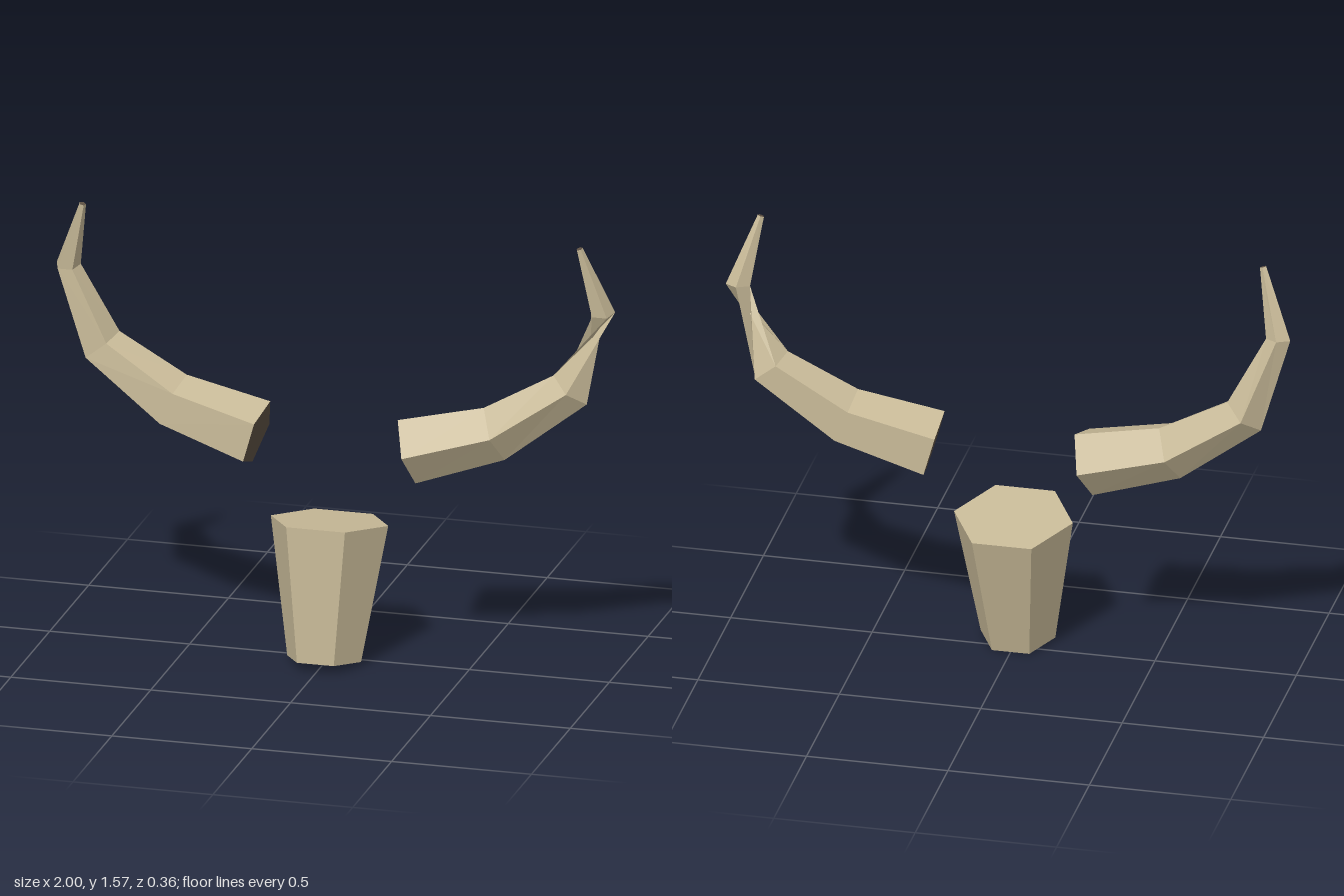
import * as THREE from 'three';

const bone = new THREE.MeshStandardMaterial({ name: 'bone', color: 0xc8ba98, flatShading: true, side: THREE.DoubleSide });
const core = new THREE.MeshStandardMaterial({ name: 'darkHornEnd', color: 0x5c4f42, flatShading: true });

// Horn cross-sections on the left side: centre, axis direction, radius
const RINGS = [
  { c: [0.27, 0.772, -0.05], t: [0.96, 0.27, -0.06], r: 0.123 },
  { c: [0.577, 0.857, -0.07], t: [0.93, 0.38, -0.04], r: 0.104 },
  { c: [0.842, 1.033, -0.09], t: [0.62, 0.78, 0.0], r: 0.08 },
  { c: [0.955, 1.322, -0.07], t: [0.0, 1.0, 0.15], r: 0.045 },
  { c: [0.888, 1.567, -0.02], t: [-0.27, 0.95, 0.2], r: 0.012 },
];
const SIDES = 5;

function meshFrom(name, triangles, material) {
  const geometry = new THREE.BufferGeometry().setFromPoints(triangles);
  geometry.computeVertexNormals();
  const mesh = new THREE.Mesh(geometry, material);
  mesh.name = name;
  return mesh;
}

// Five-sided tapering horn; side is +1 for left, -1 for right
function makeHorn(name, side) {
  const rings = RINGS.map(({ c, t, r }, i) => {
    const axis = new THREE.Vector3(side * t[0], t[1], t[2]).normalize();
    const front = new THREE.Vector3(0, 0, 1);
    front.addScaledVector(axis, -front.dot(axis)).normalize();
    const across = new THREE.Vector3().crossVectors(axis, front);
    // the left horn twists half a turn near its tip
    const start = side < 0 || i >= 3 ? Math.PI : 0;
    return Array.from({ length: SIDES }, (_, j) => {
      const a = start + (j / SIDES) * Math.PI * 2;
      return new THREE.Vector3(side * c[0], c[1], c[2])
        .addScaledVector(front, r * Math.cos(a))
        .addScaledVector(across, r * Math.sin(a));
    });
  });

  const wall = [];
  for (let i = 0; i < rings.length - 1; i++) {
    for (let j = 0; j < SIDES; j++) {
      const k = (j + 1) % SIDES;
      const a = rings[i][j], b = rings[i][k], c = rings[i + 1][k], d = rings[i + 1][j];
      wall.push(a, b, d, b, c, d);
    }
  }
  // end faces
  const base = [], tip = [];
  const last = rings[rings.length - 1];
  for (let j = 1; j < SIDES - 1; j++) {
    base.push(rings[0][0], rings[0][j + 1], rings[0][j]);
    tip.push(last[0], last[j], last[j + 1]);
  }
  const horn = new THREE.Group();
  horn.name = name;
  horn.add(meshFrom('hornWall', wall, bone), meshFrom('hornBase', base, core), meshFrom('hornTip', tip, core));
  return horn;
}

export function createModel() {
  const model = new THREE.Group();
  model.name = 'hornedSkull';

  // Tapering six-sided snout, tilted forward at the bottom
  const snout = new THREE.Mesh(new THREE.CylinderGeometry(0.21, 0.132, 0.485, 6).rotateY(Math.PI / 6), bone);
  snout.name = 'snout';
  snout.rotation.x = -0.144;
  snout.position.set(0, 0.26, 0.034);
  model.add(snout);

  model.add(makeHorn('leftHorn', 1), makeHorn('rightHorn', -1));
  return model;
}
